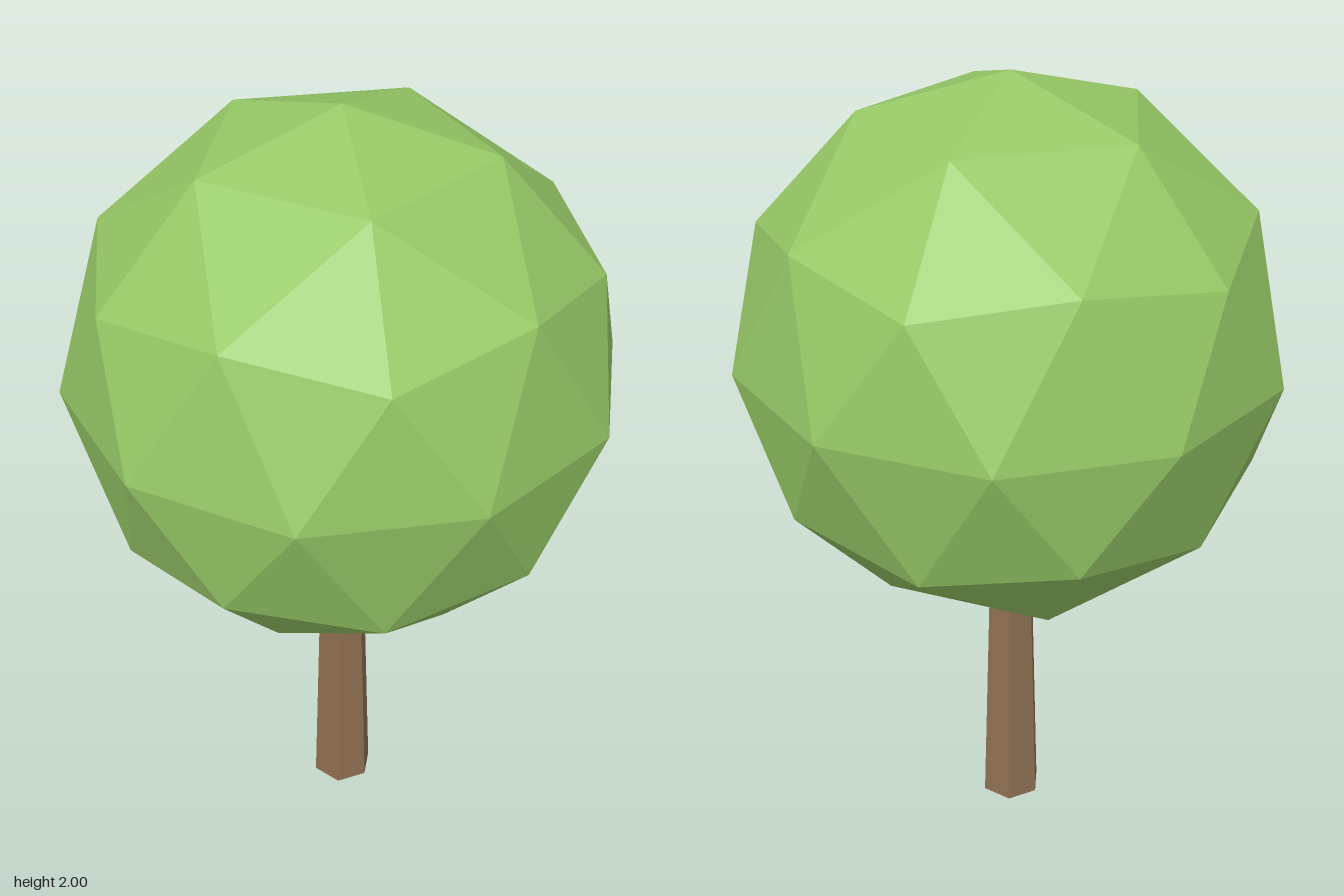
import * as THREE from 'three';

export function createModel() {
  const tree = new THREE.Group();
  tree.name = 'tree';

  const bark = new THREE.MeshStandardMaterial({ name: 'bark brown', color: 0x8f7052, flatShading: true });
  const leaf = new THREE.MeshStandardMaterial({ name: 'leaf green', color: 0x96c866, flatShading: true });

  // Tapered six-sided trunk, running a little way into the crown
  const trunkHeight = 0.8;
  const trunk = new THREE.Mesh(new THREE.CylinderGeometry(0.057, 0.08, trunkHeight, 6), bark);
  trunk.name = 'trunk';
  trunk.position.y = trunkHeight / 2;
  tree.add(trunk);

  // Faceted ball crown, turned so that one five-sided corner points straight up
  const radius = 2 / 3;
  const golden = (1 + Math.sqrt(5)) / 2;
  const crownShape = new THREE.IcosahedronGeometry(radius, 1);
  crownShape.rotateZ(-Math.atan2(1, golden));
  crownShape.computeVertexNormals();
  const crown = new THREE.Mesh(crownShape, leaf);
  crown.name = 'crown';
  crown.position.y = 2 - radius;
  tree.add(crown);

  return tree;
}
